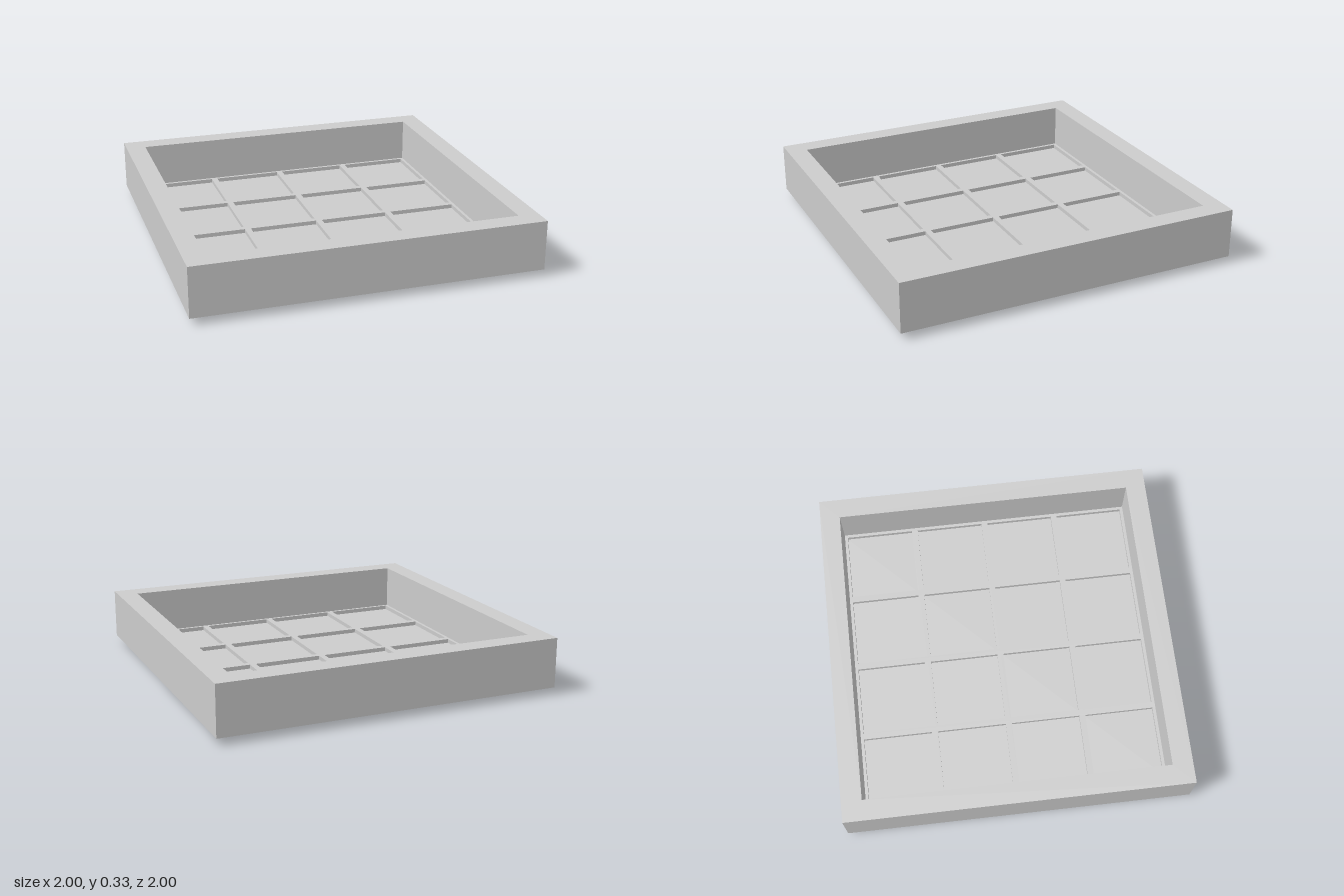
import * as THREE from 'three';

export function createModel() {
  const group = new THREE.Group();
  group.name = 'gridTray';
  const grey = new THREE.MeshStandardMaterial({ color: 0xcccccc });
  grey.name = 'light grey';

  const inner = 0.882; // half width of the opening
  const bottom = 0.04;
  const top = 0.33;

  const add = (name, geometry, x = 0, y = 0, z = 0) => {
    const mesh = new THREE.Mesh(geometry, grey);
    mesh.name = name;
    mesh.position.set(x, y, z);
    group.add(mesh);
    return mesh;
  };

  // Square outline, used for the frame and its opening
  const square = (Type, h) => new Type([
    new THREE.Vector2(-h, -h), new THREE.Vector2(h, -h),
    new THREE.Vector2(h, h), new THREE.Vector2(-h, h),
  ]);

  // Deep square frame
  const outline = square(THREE.Shape, 1);
  outline.holes.push(square(THREE.Path, inner));
  const frame = new THREE.ExtrudeGeometry(outline, { depth: top - bottom, bevelEnabled: false });
  frame.rotateX(-Math.PI / 2);
  add('frame', frame, 0, bottom, 0);

  // Thin floor closing the opening
  const floorThickness = 0.006;
  add('floor', new THREE.BoxGeometry(2 * inner, floorThickness, 2 * inner), 0, bottom + floorThickness / 2, 0);

  // Grid of bars standing out above and below the floor
  const barWidth = 0.036;
  const barHeight = 0.07;
  const lengthwise = new THREE.BoxGeometry(barWidth, barHeight, 2 * inner);
  const crosswise = new THREE.BoxGeometry(2 * inner, barHeight, barWidth);
  for (let i = -2; i <= 2; i++) {
    const p = (i * inner) / 2;
    add('lengthwiseBar', lengthwise, p, barHeight / 2, 0);
    add('crosswiseBar', crosswise, 0, barHeight / 2, p);
  }

  return group;
}
